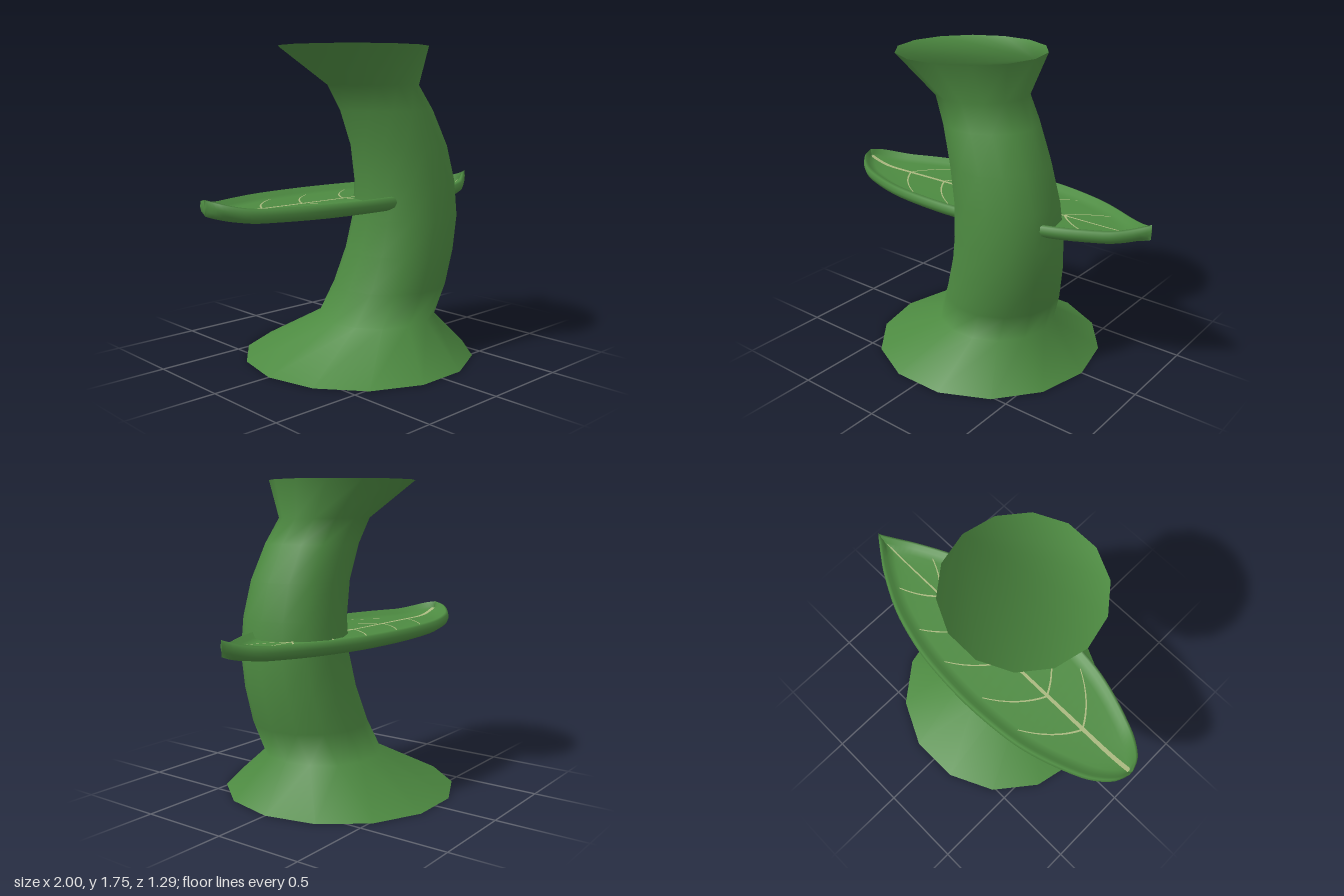
import * as THREE from 'three';

// Skins closed rings of equal length; the ends are closed with fans that share the soft rim normals.
function loft(rings) {
  const n = rings[0].length, last = (rings.length - 1) * n, index = [];
  for (let i = 0; i < rings.length - 1; i++) {
    for (let j = 0; j < n; j++) {
      const a = i * n + j, b = i * n + (j + 1) % n;
      index.push(a, a + n, b, b, a + n, b + n);
    }
  }
  const geo = new THREE.BufferGeometry();
  geo.setAttribute('position', new THREE.Float32BufferAttribute(rings.flat(2), 3));
  geo.setIndex(index);
  geo.computeVertexNormals();
  for (let j = 1; j < n - 1; j++) index.push(0, j, j + 1, last, last + j + 1, last + j);
  geo.setIndex(index);
  return geo;
}

// Flat tapering strip along [x, y, z] points, facing up.
function ribbon(points, startWidth, endWidth) {
  const pos = [], index = [];
  points.forEach((p, i) => {
    const q = points[Math.max(i - 1, 0)], r = points[Math.min(i + 1, points.length - 1)];
    const dx = r[0] - q[0], dz = r[2] - q[2], len = Math.hypot(dx, dz);
    const w = THREE.MathUtils.lerp(startWidth, endWidth, i / (points.length - 1)) / 2;
    const ox = -dz / len * w, oz = dx / len * w;
    pos.push(p[0] + ox, p[1], p[2] + oz, p[0] - ox, p[1], p[2] - oz);
    if (i) index.push(2 * i - 2, 2 * i, 2 * i - 1, 2 * i - 1, 2 * i, 2 * i + 1);
  });
  const geo = new THREE.BufferGeometry();
  geo.setAttribute('position', new THREE.Float32BufferAttribute(pos, 3));
  geo.setIndex(index);
  geo.computeVertexNormals();
  return geo;
}

export function createModel() {
  const model = new THREE.Group();
  model.name = 'stalkWithLeaf';
  const green = new THREE.MeshStandardMaterial({ color: 0x4d8a41 });
  green.name = 'leafGreen';
  const pale = new THREE.MeshStandardMaterial({ color: 0xa9b77e, side: THREE.DoubleSide });
  pale.name = 'veinGreen';
  const add = (parent, name, geo, mat) => {
    const mesh = new THREE.Mesh(geo, mat);
    mesh.name = name;
    parent.add(mesh);
  };

  // Bowed stalk with flared foot and mouth: height, centre x, centre z, radius
  const SIDES = 14;
  const stalk = [
    [0, 0, 0, 0.66], [0.22, 0.095, 0.05, 0.335], [0.4, 0.165, 0.087, 0.325],
    [0.6, 0.215, 0.115, 0.312], [0.8, 0.239, 0.135, 0.301], [1, 0.228, 0.14, 0.288],
    [1.2, 0.183, 0.137, 0.275], [1.4, 0.105, 0.115, 0.262], [1.54, 0.025, 0.09, 0.255],
    [1.75, -0.085, 0.045, 0.415],
  ].map(([y, cx, cz, r]) => Array.from({ length: SIDES }, (_, j) => {
    const a = j / SIDES * Math.PI * 2;
    return [cx + r * Math.cos(a), y, cz + r * Math.sin(a)];
  }));
  add(model, 'stalk', loft(stalk), green);

  // Leaf blade: half-width along x, with upturned tips
  const leaf = new THREE.Group();
  leaf.name = 'leaf';
  model.add(leaf);
  const midZ = -0.045;
  const lift = (x) => 0.045 * Math.max(0, (Math.abs(x) - 0.78) / 0.22) ** 2;
  const outline = new THREE.SplineCurve([
    [-1, 0.02], [-0.97, 0.09], [-0.9, 0.155], [-0.8, 0.21], [-0.6, 0.285], [-0.4, 0.33],
    [-0.1, 0.352], [0.2, 0.338], [0.4, 0.303], [0.6, 0.243], [0.8, 0.145], [0.9, 0.08], [1, 0.005],
  ].map(([x, w]) => new THREE.Vector2(x, w))).getPoints(48);

  // Half section from top centre round the rolled rim to bottom centre: inset from edge, height
  const section = [
    [1, 0.9], [0.09, 0.9], [0.045, 0.91], [0.025, 0.938], [0.008, 0.932], [0, 0.905],
    [0.01, 0.88], [0.04, 0.861], [0.12, 0.855], [1, 0.855],
  ];
  const blade = outline.map(({ x, y: w }) => {
    const side = (s) => section.map(([d, y]) => [x, y + lift(x), midZ + s * Math.max(0, w - d)]);
    return [...side(-1), ...side(1).reverse().slice(1, -1)];
  });
  add(leaf, 'blade', loft(blade), green);

  // Midrib and curved side veins
  const veinY = (x) => 0.904 + lift(x);
  const rib = Array.from({ length: 41 }, (_, i) => {
    const x = -0.985 + i * 0.0485;
    return [x, veinY(x), midZ + 0.005];
  });
  add(leaf, 'midrib', ribbon(rib, 0.026, 0.006), pale);
  [[-0.65, 0.25], [-0.38, 0.26], [-0.08, 0.26], [0.2, 0.25], [0.48, 0.15]].forEach(([x0, reach]) => {
    for (const s of [-1, 1]) {
      const vein = Array.from({ length: 9 }, (_, i) => {
        const t = i / 8, x = x0 + 0.25 * (0.6 * t + 0.4 * t * t);
        return [x, veinY(x), midZ + s * reach * (1.2 * t - 0.2 * t * t)];
      });
      add(leaf, 'sideVein', ribbon(vein, 0.011, 0.005), pale);
    }
  });
  return model;
}
